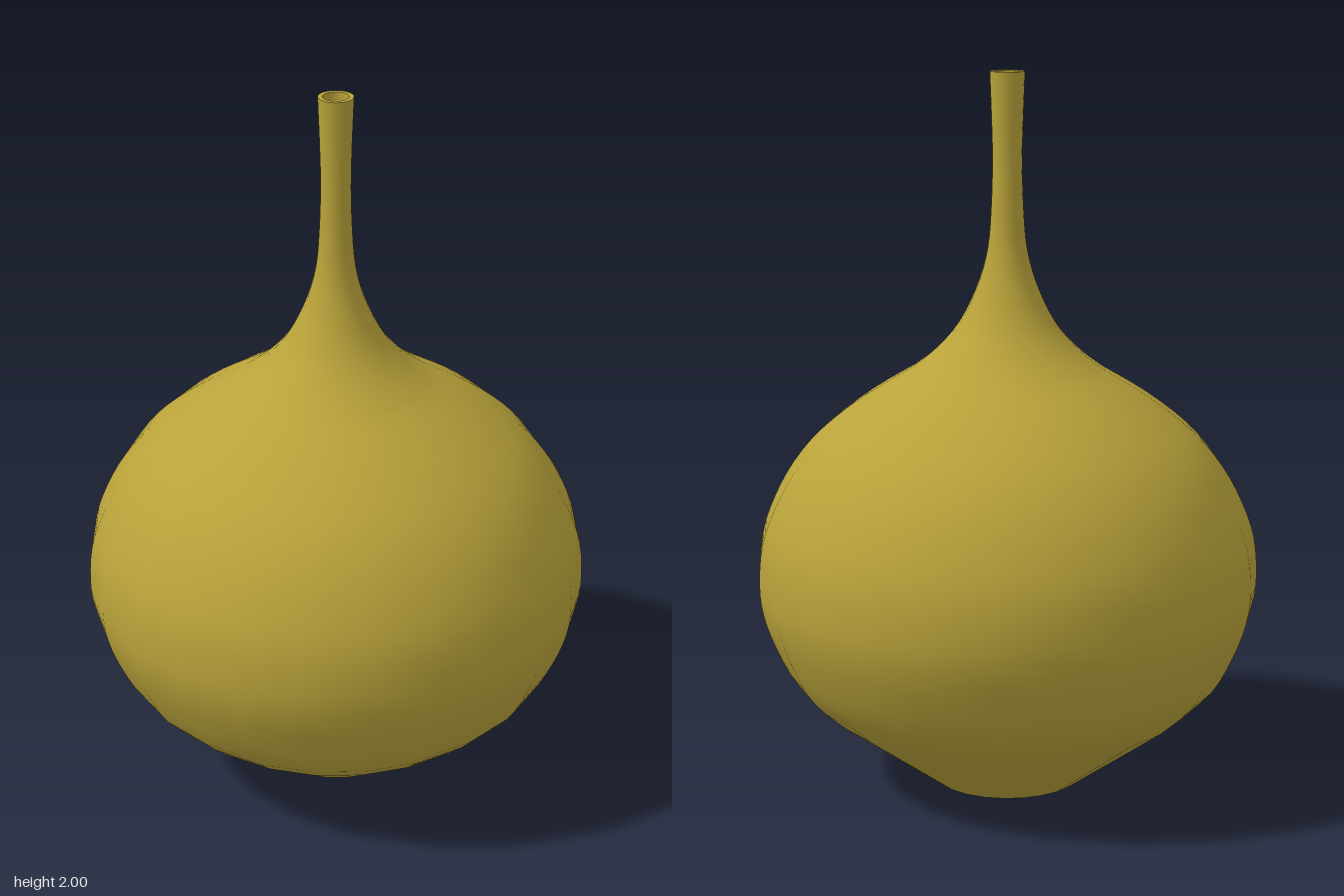
import * as THREE from 'three';

const SIDES = 24;
const v = ([r, y]) => new THREE.Vector2(r, y);

export function createModel() {
  const group = new THREE.Group();
  group.name = 'bottleVase';
  const glaze = new THREE.MeshStandardMaterial({ color: 0xb8a23a });
  glaze.name = 'olive glaze';

  // Revolve a profile; separate meshes keep the foot and rim edges sharp
  const revolve = (name, points) => {
    const mesh = new THREE.Mesh(new THREE.LatheGeometry(points, SIDES), glaze);
    mesh.name = name;
    group.add(mesh);
  };

  // Flared foot, round belly, shoulder and slender neck
  const belly = new THREE.SplineCurve([
    [0.5, 0.21], [0.595, 0.3], [0.655, 0.41], [0.69, 0.51], [0.7, 0.6], [0.69, 0.71],
    [0.655, 0.81], [0.6, 0.91], [0.52, 1.005], [0.4, 1.1], [0.27, 1.18],
  ].map(v)).getPoints(30);
  const neck = new THREE.SplineCurve([
    [0.27, 1.18], [0.2, 1.235], [0.135, 1.31], [0.085, 1.41], [0.056, 1.51],
    [0.045, 1.62], [0.041, 1.78], [0.048, 2],
  ].map(v)).getPoints(24);
  const outer = [v([0.21, 0]), v([0.355, 0.105]), ...belly, ...neck.slice(1)];
  revolve('body', outer);

  // Flat base
  revolve('base', [[0, 0], [0.21, 0]].map(v));

  // Thin lip
  revolve('rim', [[0.048, 2], [0.035, 2]].map(v));

  // Hollow inside, following the outer wall down to a floor
  const inner = outer.slice(1).reverse().map((p) => v([p.x - 0.013, p.y]));
  revolve('innerWall', inner);
  revolve('innerFloor', [[0.342, 0.105], [0, 0.105]].map(v));

  return group;
}
